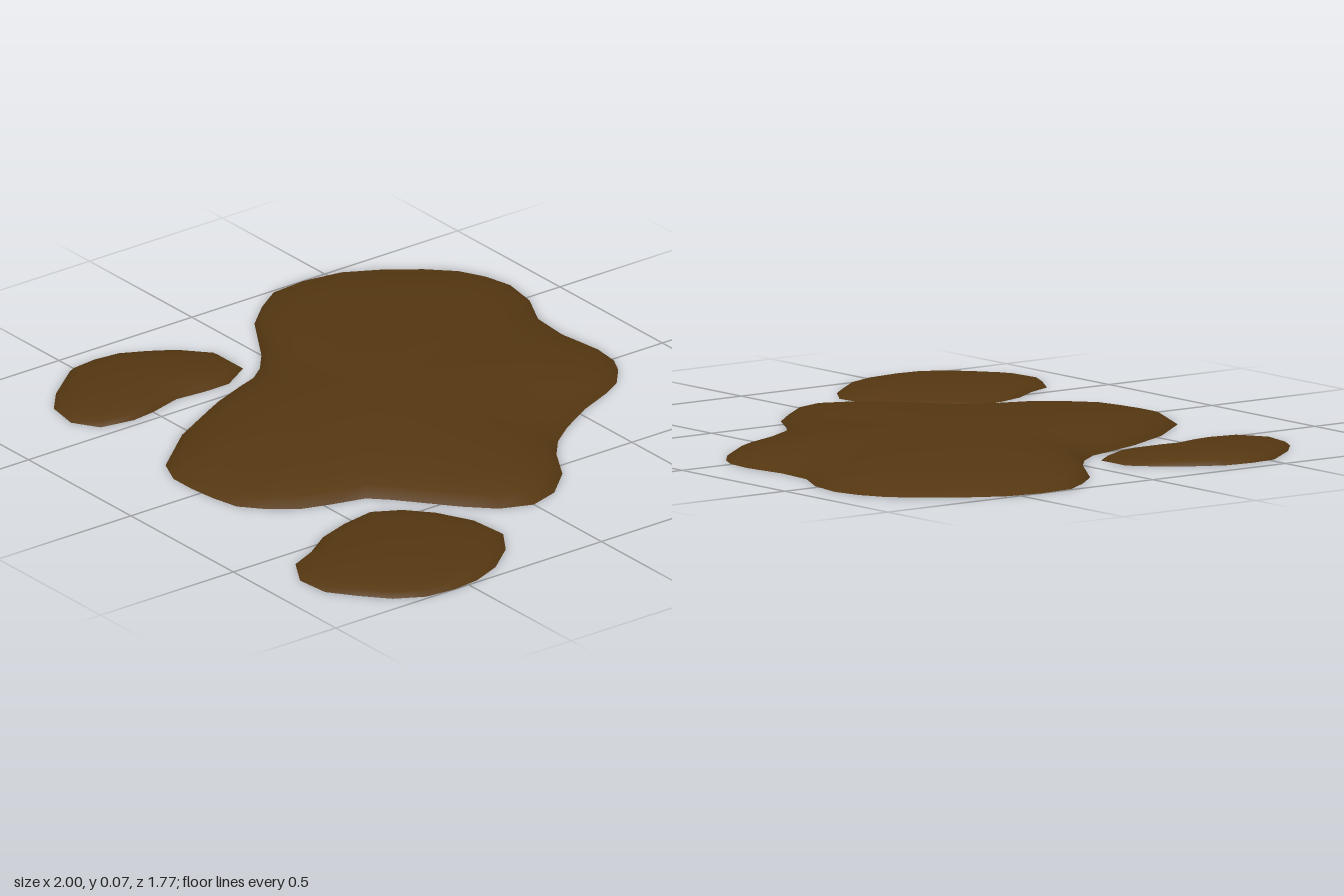
import * as THREE from 'three';

const mud = new THREE.MeshStandardMaterial({ color: 0x553711, side: THREE.DoubleSide });

// Dome section from rim to crown: [share of outline radius, share of height]
const section = [[1, 0], [0.94, 0.38], [0.8, 0.61], [0.65, 0.76], [0.5, 0.87], [0.25, 0.97]];

// Shallow open dome: the outline (x, z pairs) shrinks ring by ring towards its centre
function puddle(name, [cx, cz], height, outline) {
  const n = outline.length / 2;
  const positions = [];
  const index = [];
  for (const [r, h] of section) {
    for (let i = 0; i < n; i++) {
      positions.push(cx + (outline[2 * i] - cx) * r, h * height, cz + (outline[2 * i + 1] - cz) * r);
    }
  }
  const crown = positions.length / 3;
  positions.push(cx, height, cz);
  for (let s = 0; s < section.length; s++) {
    for (let i = 0; i < n; i++) {
      const a = s * n + i;
      const b = s * n + (i + 1) % n;
      if (s === section.length - 1) index.push(crown, b, a);
      else index.push(a, a + n, b, b, a + n, b + n);
    }
  }
  const geometry = new THREE.BufferGeometry();
  geometry.setAttribute('position', new THREE.Float32BufferAttribute(positions, 3));
  geometry.setIndex(index);
  geometry.computeVertexNormals();
  const mesh = new THREE.Mesh(geometry, mud);
  mesh.name = name;
  return mesh;
}

export function createModel() {
  const group = new THREE.Group();
  group.name = 'mudPuddles';

  // Large lobed puddle
  group.add(puddle('mainPuddle', [-0.18, -0.05], 0.073, [
    -1, -0.42, -0.98, -0.54, -0.92, -0.65, -0.84, -0.76, -0.77, -0.83, -0.69, -0.87, -0.6, -0.89,
    -0.48, -0.87, -0.36, -0.81, -0.23, -0.8, -0.16, -0.81, -0.08, -0.82, 0.01, -0.81, 0.07, -0.78,
    0.14, -0.72, 0.18, -0.65, 0.23, -0.53, 0.3, -0.41, 0.36, -0.33, 0.43, -0.27, 0.55, -0.2,
    0.64, -0.1, 0.67, 0, 0.63, 0.1, 0.55, 0.18, 0.44, 0.27, 0.38, 0.32, 0.33, 0.37,
    0.3, 0.48, 0.27, 0.57, 0.21, 0.65, 0.14, 0.71, 0.05, 0.73, -0.04, 0.74, -0.13, 0.74,
    -0.22, 0.7, -0.36, 0.53, -0.45, 0.36, -0.5, 0.23, -0.53, 0.14, -0.59, 0.06, -0.66, 0,
    -0.85, -0.12, -0.93, -0.21, -0.99, -0.3,
  ]));

  // Small bean-shaped puddle on the right
  group.add(puddle('rightPuddle', [-0.73, 0.42], 0.035, [
    -0.74, 0.1, -0.62, 0.1, -0.56, 0.2, -0.56, 0.29, -0.57, 0.39, -0.54, 0.5, -0.53, 0.58,
    -0.55, 0.69, -0.63, 0.74, -0.74, 0.72, -0.82, 0.65, -0.92, 0.52, -0.93, 0.43, -0.92, 0.34,
    -0.88, 0.26, -0.83, 0.18,
  ]));

  // Small oval puddle on the left
  group.add(puddle('leftPuddle', [0.72, 0.53], 0.037, [
    0.67, 0.21, 0.78, 0.2, 0.87, 0.26, 0.95, 0.36, 0.99, 0.46, 1, 0.55, 0.99, 0.65,
    0.94, 0.74, 0.86, 0.81, 0.78, 0.87, 0.67, 0.88, 0.57, 0.82, 0.53, 0.73, 0.47, 0.64,
    0.44, 0.55, 0.42, 0.43, 0.47, 0.34, 0.55, 0.27,
  ]));

  return group;
}
